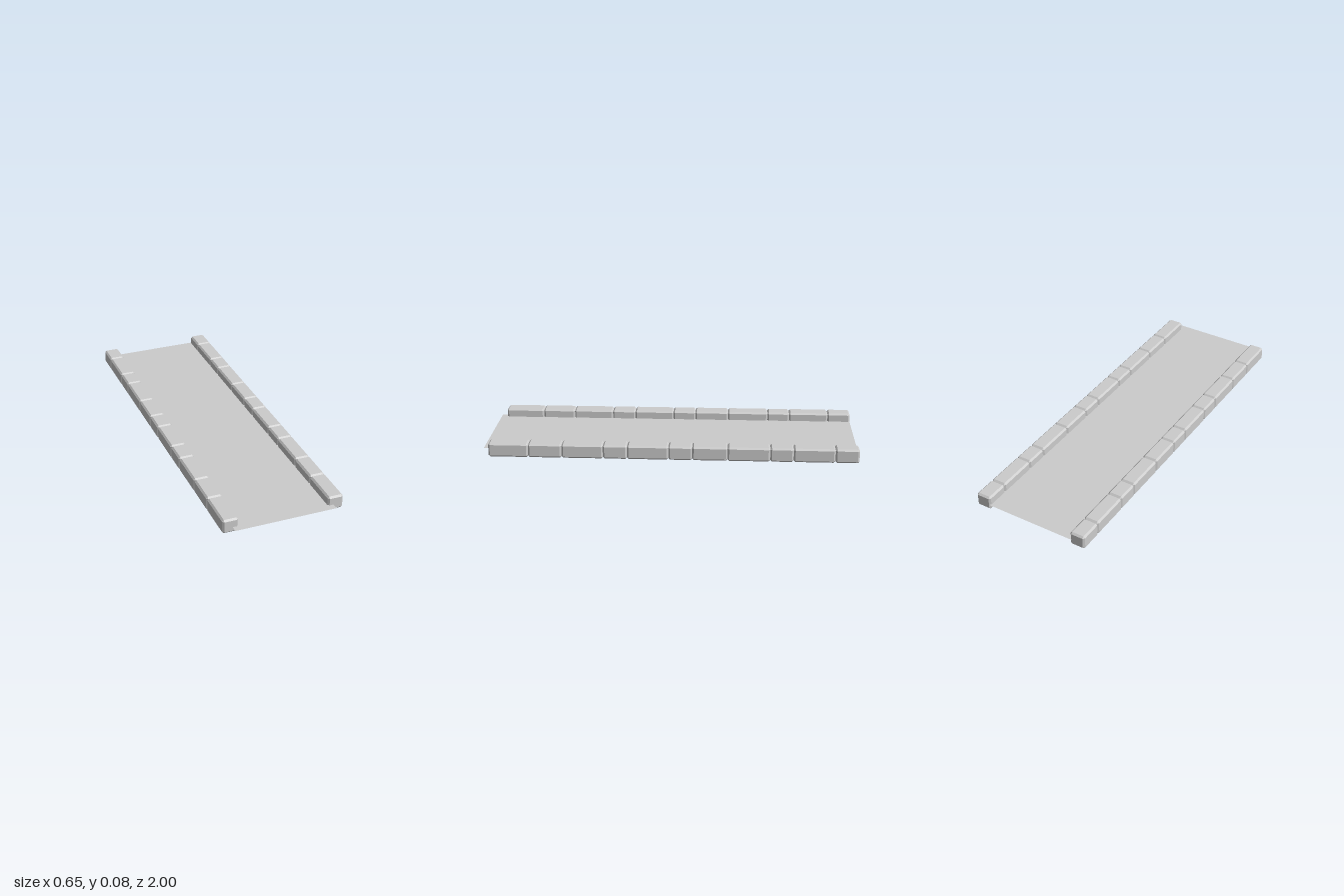
import * as THREE from 'three';
import { ConvexGeometry } from 'three/addons/geometries/ConvexGeometry.js';

// Box with every edge cut by a chamfer c
function chamferBox(w, h, d, c) {
  const pts = [];
  for (const sx of [-1, 1]) for (const sy of [-1, 1]) for (const sz of [-1, 1]) {
    for (let axis = 0; axis < 3; axis++) {
      const inset = [c, c, c];
      inset[axis] = 0;
      pts.push(new THREE.Vector3(
        sx * (w / 2 - inset[0]), sy * (h / 2 - inset[1]), sz * (d / 2 - inset[2])));
    }
  }
  return new ConvexGeometry(pts);
}

export function createModel() {
  const group = new THREE.Group();
  group.name = 'path';
  const stone = new THREE.MeshStandardMaterial({ color: 0xcccccc, flatShading: true });
  const ground = new THREE.MeshStandardMaterial({ color: 0xcccccc, side: THREE.DoubleSide });

  // Thin walking surface, running under both kerbs
  const surface = new THREE.Mesh(new THREE.PlaneGeometry(0.535, 2), ground);
  surface.name = 'pathSurface';
  surface.rotation.x = -Math.PI / 2;
  surface.position.set(0.002, 0.03, 0);
  group.add(surface);

  // Kerb stones of mixed length, laid end to end from back to front
  const joints = [-1, -0.874, -0.655, -0.532, -0.307, -0.12, 0.006, 0.225, 0.354, 0.574, 0.753, 0.966];
  for (const side of [1, -1]) {
    const kerb = new THREE.Group();
    kerb.name = side > 0 ? 'leftKerb' : 'rightKerb';
    for (let i = 0; i < joints.length - 1; i++) {
      const z0 = joints[i], z1 = joints[i + 1];
      const brick = new THREE.Mesh(chamferBox(0.083, 0.076, z1 - z0, 0.009), stone);
      brick.name = 'kerbStone' + (i + 1);
      // The right kerb drifts slightly inwards towards the front
      const x = side > 0 ? 0.281 : -0.283 + 0.007 * i / (joints.length - 2);
      brick.position.set(x, 0.038, (z0 + z1) / 2);
      kerb.add(brick);
    }
    group.add(kerb);
  }
  return group;
}
